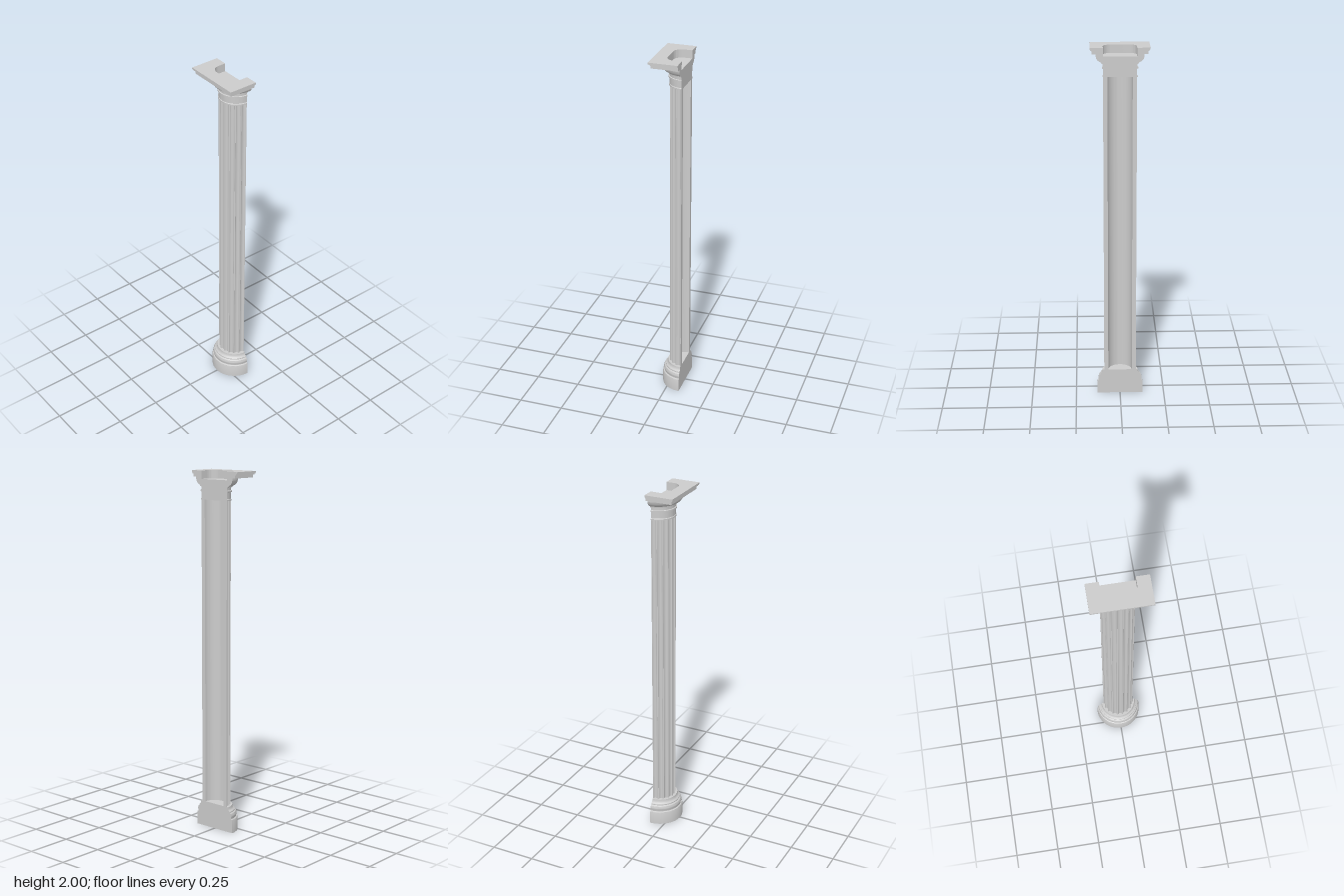
import * as THREE from 'three';
import { toCreasedNormals } from 'three/addons/utils/BufferGeometryUtils.js';

const BACK = -0.08; // flat back plane, also the column axis
const material = new THREE.MeshStandardMaterial({ color: 0xcccccc });

function addMesh(parent, name, geometry, crease = 0.55) {
  const mesh = new THREE.Mesh(toCreasedNormals(geometry, crease), material);
  mesh.name = name;
  parent.add(mesh);
}

// Plan shape (x, distance from the back) extruded from y0 up to y1
function plan(shape, y0, y1) {
  const g = new THREE.ExtrudeGeometry(shape, { depth: y1 - y0, bevelEnabled: false, curveSegments: 16 });
  return g.rotateX(Math.PI / 2).translate(0, y1, BACK);
}

// Half-turned solid from a [radius, height] profile, closed by a flat back
function halfTurned(name, profile) {
  const group = new THREE.Group();
  group.name = name;
  const pts = profile.map(([r, y]) => new THREE.Vector2(r, y));
  const turned = new THREE.LatheGeometry(pts, 36, -Math.PI / 2, Math.PI).translate(0, 0, BACK);
  addMesh(group, name + 'Moulding', turned);
  const mirrored = pts.slice(1, -1).reverse().map(p => new THREE.Vector2(-p.x, p.y));
  const flat = new THREE.ShapeGeometry(new THREE.Shape([...pts, ...mirrored]));
  addMesh(group, name + 'Back', flat.rotateY(Math.PI).translate(0, 0, BACK));
  return group;
}

// Rounded socket edge, drawn from its left end to its right end along the back
function cutSocket(shape) {
  const w = 0.09, d = 0.09, r = 0.045;
  shape.lineTo(-w, 0);
  shape.lineTo(-w, d - r);
  shape.absarc(-w + r, d - r, r, Math.PI, Math.PI / 2, true);
  shape.lineTo(w - r, d);
  shape.absarc(w - r, d - r, r, Math.PI / 2, 0, true);
  shape.lineTo(w, 0);
  shape.closePath();
  return shape;
}

function slabShape(h) {
  const s = new THREE.Shape();
  s.moveTo(h, 0);
  s.lineTo(h, h);
  s.lineTo(-h, h);
  s.lineTo(-h, 0);
  return cutSocket(s);
}

function halfDiscShape(r) {
  const s = new THREE.Shape();
  s.moveTo(r, 0);
  s.absarc(0, 0, r, 0, Math.PI, false);
  return cutSocket(s);
}

// Hollow half ring with concave flutes separated by narrow fillets
function flutedShape() {
  const flutes = 9, steps = 10, outer = 0.09, inner = 0.067, depth = 0.009;
  const pitch = Math.PI / flutes, pts = [];
  const put = (r, a) => pts.push(new THREE.Vector2(r * Math.cos(a), r * Math.sin(a)));
  put(outer, 0);
  for (let i = 0; i < flutes; i++) {
    for (let j = 0; j <= steps; j++) {
      const t = -Math.cos(Math.PI * j / steps);
      const r = outer - depth * Math.sqrt(Math.max(0, 1 - t * t));
      put(r, (i + 0.5 + 0.4 * t) * pitch);
    }
  }
  put(outer, Math.PI);
  for (let i = 0; i <= 28; i++) put(inner, Math.PI * (1 - i / 28));
  return new THREE.Shape(pts);
}

export function createModel() {
  const column = new THREE.Group();
  column.name = 'halfColumn';

  // Base: plinth, stacked roundels and top fillet
  column.add(halfTurned('base', [
    [0, 0], [0.13, 0], [0.13, 0.068], [0.127, 0.076], [0.121, 0.079], [0.121, 0.085],
    [0.124, 0.092], [0.124, 0.1], [0.12, 0.11], [0.113, 0.115], [0.113, 0.121],
    [0.106, 0.125], [0.101, 0.133], [0.1, 0.145], [0, 0.145],
  ]));

  // Fluted shaft, hollow at the back
  addMesh(column, 'shaft', plan(flutedShape(), 0.145, 1.845));

  // Capital: necking, ring and flaring cushion
  const capital = halfTurned('capital', [
    [0, 1.845], [0.093, 1.845], [0.093, 1.852], [0.09, 1.855], [0.09, 1.888], [0.096, 1.89],
    [0.096, 1.898], [0.091, 1.9], [0.091, 1.915], [0.099, 1.917], [0.1, 1.923],
    [0.108, 1.926], [0.118, 1.933], [0.125, 1.943], [0.128, 1.955], [0, 1.955],
  ]);
  column.add(capital);
  addMesh(capital, 'cushionRim', plan(halfDiscShape(0.128), 1.955, 1.966));

  // Stepped square top slab with the socket open to the back
  const slab = new THREE.Group();
  slab.name = 'topSlab';
  const layers = [[0.148, 1.966, 1.982], [0.153, 1.982, 1.987], [0.157, 1.987, 1.991], [0.16, 1.991, 2]];
  layers.forEach(([h, y0, y1], i) => addMesh(slab, 'slabLayer' + (i + 1), plan(slabShape(h), y0, y1)));
  column.add(slab);

  return column;
}
